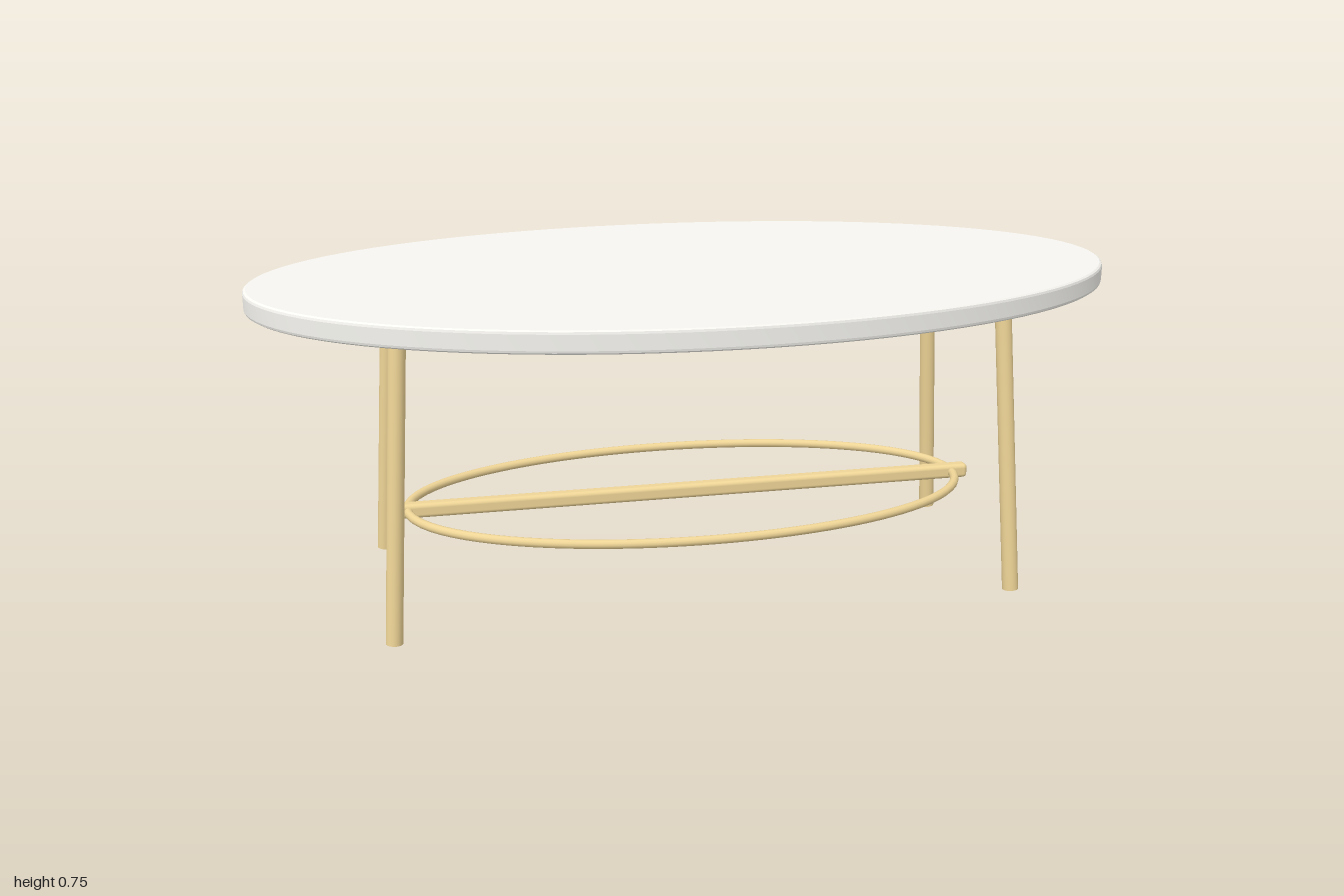
import * as THREE from 'three';
import { toCreasedNormals } from 'three/addons/utils/BufferGeometryUtils.js';
import { RoundedBoxGeometry } from 'three/addons/geometries/RoundedBoxGeometry.js';

const topMaterial = new THREE.MeshStandardMaterial({ color: 0xf6f5f0 });
const brass = new THREE.MeshStandardMaterial({ color: 0xeed496 });

function add(group, name, geometry, material) {
  const mesh = new THREE.Mesh(geometry, material);
  mesh.name = name;
  group.add(mesh);
  return mesh;
}

// Round leg between two points
function addLeg(group, name, from, to, radius) {
  const axis = to.clone().sub(from);
  const leg = add(group, name, new THREE.CylinderGeometry(radius, radius, axis.length(), 24), brass);
  leg.position.copy(from).add(to).multiplyScalar(0.5);
  leg.quaternion.setFromUnitVectors(new THREE.Vector3(0, 1, 0), axis.normalize());
}

// Closed horizontal ellipse
class EllipsePath extends THREE.Curve {
  constructor(rx, rz, y) {
    super();
    Object.assign(this, { rx, rz, y });
  }
  getPoint(t, target = new THREE.Vector3()) {
    const a = t * Math.PI * 2;
    return target.set(this.rx * Math.cos(a), this.y, this.rz * Math.sin(a));
  }
}

export function createModel() {
  const table = new THREE.Group();
  table.name = 'ovalTable';

  // Oval top: flat faces, smooth rim, slightly softened edges
  const profile = [
    [0, 0.7], [0.993, 0.7], [0.998, 0.703], [1, 0.708],
    [1, 0.742], [0.998, 0.747], [0.993, 0.75], [0, 0.75],
  ].map(([x, y]) => new THREE.Vector2(x, y));
  const top = new THREE.LatheGeometry(profile, 96);
  top.scale(1, 1, 0.548);
  add(table, 'tableTop', toCreasedNormals(top, 0.2), topMaterial);

  // Four splayed legs
  for (const sx of [1, -1]) {
    for (const sz of [1, -1]) {
      const name = (sz > 0 ? 'front' : 'back') + (sx > 0 ? 'Left' : 'Right') + 'Leg';
      addLeg(table, name,
        new THREE.Vector3(0.722 * sx, 0.002, 0.288 * sz),
        new THREE.Vector3(0.677 * sx, 0.705, 0.245 * sz), 0.019);
    }
  }

  // Oval ring and the long bar crossing it
  const ring = new THREE.TubeGeometry(new EllipsePath(0.67, 0.328, 0.204), 96, 0.0105, 12, true);
  add(table, 'stretcherRing', ring, brass);
  const bar = add(table, 'stretcherBar', new RoundedBoxGeometry(1.42, 0.035, 0.033, 4, 0.01), brass);
  bar.position.y = 0.204;

  return table;
}
